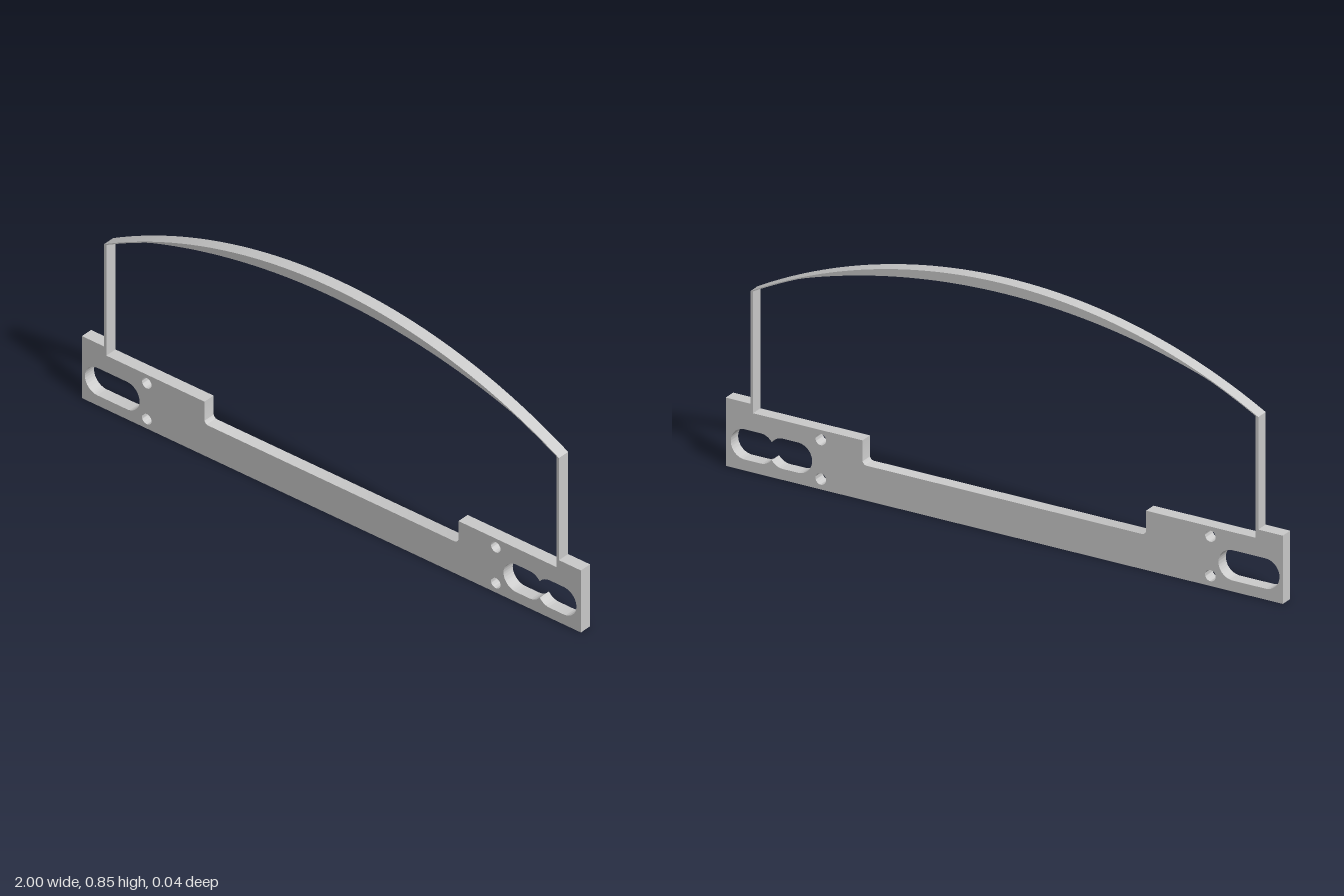
import * as THREE from 'three';
import { toCreasedNormals } from 'three/addons/utils/BufferGeometryUtils.js';

const DEPTH = 0.044;
const material = new THREE.MeshStandardMaterial({ color: 0xcccccc });

// Flat plate cut from a shape, centred on z = 0
function plate(name, shape) {
  const geometry = new THREE.ExtrudeGeometry(shape, { depth: DEPTH, bevelEnabled: false, curveSegments: 24 });
  geometry.translate(0, 0, -DEPTH / 2);
  const mesh = new THREE.Mesh(toCreasedNormals(geometry, 0.5), material);
  mesh.name = name;
  return mesh;
}

function roundHole(x, y, r) {
  return new THREE.Path().absarc(x, y, r, 0, Math.PI * 2, true);
}

// Slot with round ends; x0 and x1 are the centres of the ends
function slotHole(x0, x1, y, r) {
  const path = new THREE.Path();
  path.absarc(x0, y, r, Math.PI / 2, Math.PI * 1.5, false);
  path.absarc(x1, y, r, -Math.PI / 2, Math.PI / 2, false);
  path.closePath();
  return path;
}

// Two overlapping slots, leaving a cusp above and below where they meet
function doubleSlotHole(x0, xa, xb, x1, y, r) {
  const a = Math.acos((xb - xa) / 2 / r);
  const path = new THREE.Path();
  path.absarc(x0, y, r, Math.PI / 2, Math.PI * 1.5, false);
  path.absarc(xa, y, r, -Math.PI / 2, -a, false);
  path.absarc(xb, y, r, Math.PI + a, Math.PI * 1.5, false);
  path.absarc(x1, y, r, -Math.PI / 2, Math.PI / 2, false);
  path.absarc(xb, y, r, Math.PI / 2, Math.PI - a, false);
  path.absarc(xa, y, r, a, Math.PI / 2, false);
  path.closePath();
  return path;
}

// Height of a circular arc through its apex
const arcY = (x, apex, radius) => apex - radius + Math.sqrt(radius * radius - x * x);
const outerY = (x) => arcY(x, 0.845, 1.879);
const innerY = (x) => Math.min(arcY(x, 0.812, 2.306), outerY(x) - 0.004);

export function createModel() {
  const group = new THREE.Group();
  group.name = 'archedFrame';
  const outer = 0.912, inner = 0.902;

  // Base bar with raised ends and a filleted notch in the middle
  const base = new THREE.Shape();
  const f = 0.015, notch = 0.509, floor = 0.118;
  base.moveTo(-1, 0);
  base.lineTo(1, 0);
  base.lineTo(1, 0.23);
  base.lineTo(outer, 0.23);
  base.lineTo(outer, 0.2);
  base.lineTo(notch, 0.2);
  base.lineTo(notch, floor + f);
  base.absarc(notch - f, floor + f, f, 0, -Math.PI / 2, true);
  base.lineTo(-notch + f, floor);
  base.absarc(-notch + f, floor + f, f, -Math.PI / 2, -Math.PI, true);
  base.lineTo(-notch, 0.2);
  base.lineTo(-outer, 0.2);
  base.lineTo(-outer, 0.23);
  base.lineTo(-1, 0.23);
  base.closePath();
  base.holes.push(slotHole(-0.937, -0.82, 0.088, 0.051));
  base.holes.push(doubleSlotHole(0.741, 0.794, 0.876, 0.931, 0.088, 0.051));
  for (const x of [-0.74, 0.659]) {
    for (const y of [0.035, 0.168]) base.holes.push(roundHole(x, y, 0.019));
  }
  group.add(plate('baseBar', base));

  // Thin uprights, their tops sloped to meet the arch
  for (const [name, x0, x1] of [['leftPost', inner, outer], ['rightPost', -outer, -inner]]) {
    const post = new THREE.Shape();
    post.moveTo(x0, 0.2);
    post.lineTo(x1, 0.2);
    post.lineTo(x1, innerY(x1));
    post.lineTo(x0, innerY(x0));
    post.closePath();
    group.add(plate(name, post));
  }

  // Crescent arch, thickest at the middle and a thin strip at its ends
  const arch = new THREE.Shape();
  const steps = 64;
  const xAt = (i) => -outer + (2 * outer * i) / steps;
  arch.moveTo(-outer, innerY(-outer));
  for (let i = 1; i <= steps; i++) arch.lineTo(xAt(i), innerY(xAt(i)));
  for (let i = steps; i >= 0; i--) arch.lineTo(xAt(i), outerY(xAt(i)));
  arch.closePath();
  group.add(plate('arch', arch));

  return group;
}
